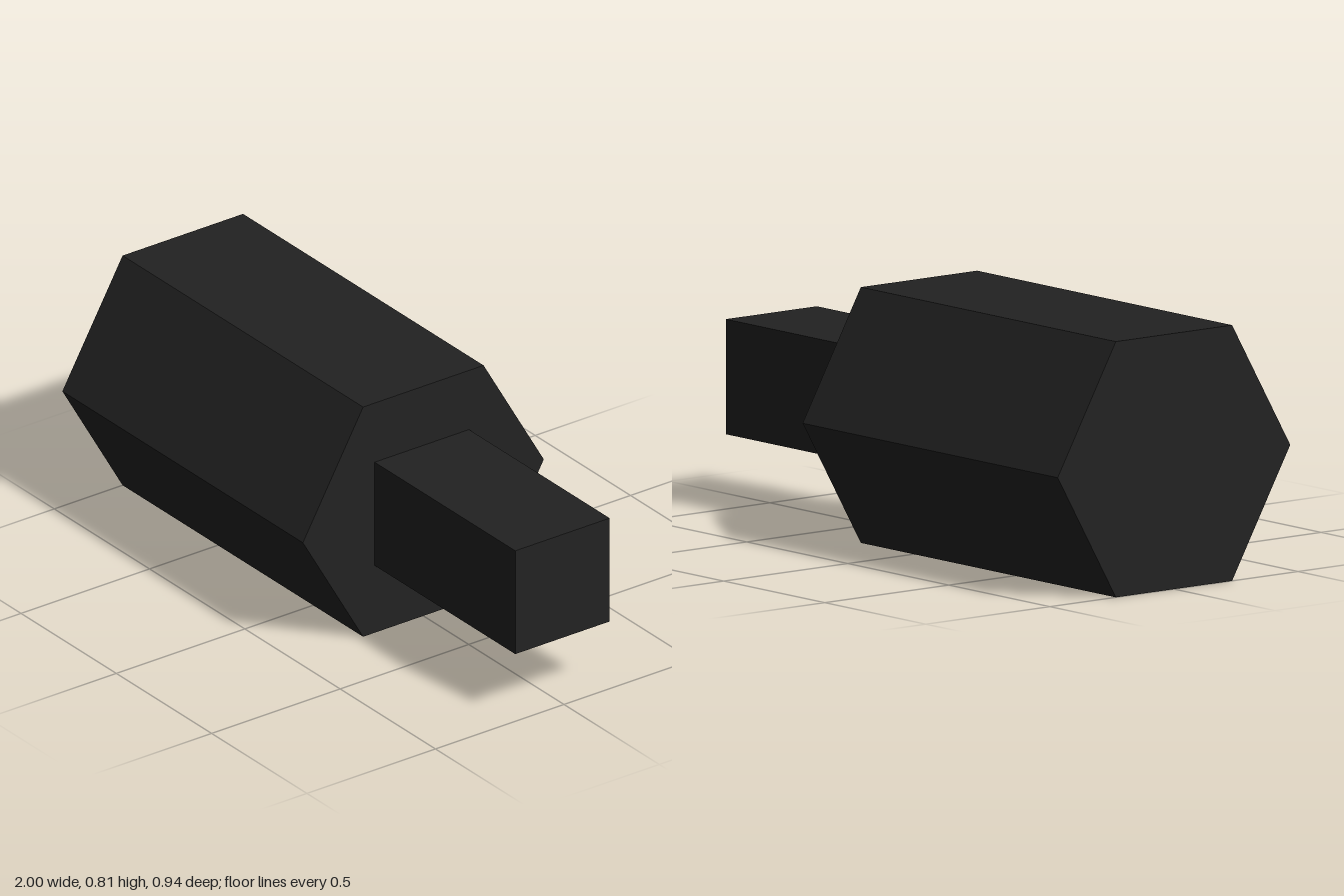
import * as THREE from 'three';

export function createModel() {
  const group = new THREE.Group();
  const black = new THREE.MeshStandardMaterial({ color: 0x222222, flatShading: true });
  black.name = 'black';

  // Hexagonal body lying along x, resting on one flat
  const radius = 0.4685, bodyEnd = 0.262;
  const axisY = radius * Math.sqrt(3) / 2;
  const bodyLength = bodyEnd + 1;
  const body = new THREE.Mesh(new THREE.CylinderGeometry(radius, radius, bodyLength, 6), black);
  body.name = 'hexBody';
  body.rotation.z = -Math.PI / 2;
  body.position.set(bodyEnd - bodyLength / 2, axisY, 0);
  group.add(body);

  // Square shank, slightly embedded in the body's end
  const shankStart = bodyEnd - 0.01;
  const shank = new THREE.Mesh(new THREE.BoxGeometry(1 - shankStart, 0.365, 0.367), black);
  shank.name = 'squareShank';
  shank.position.set((1 + shankStart) / 2, 0.42, 0.006);
  group.add(shank);

  return group;
}
